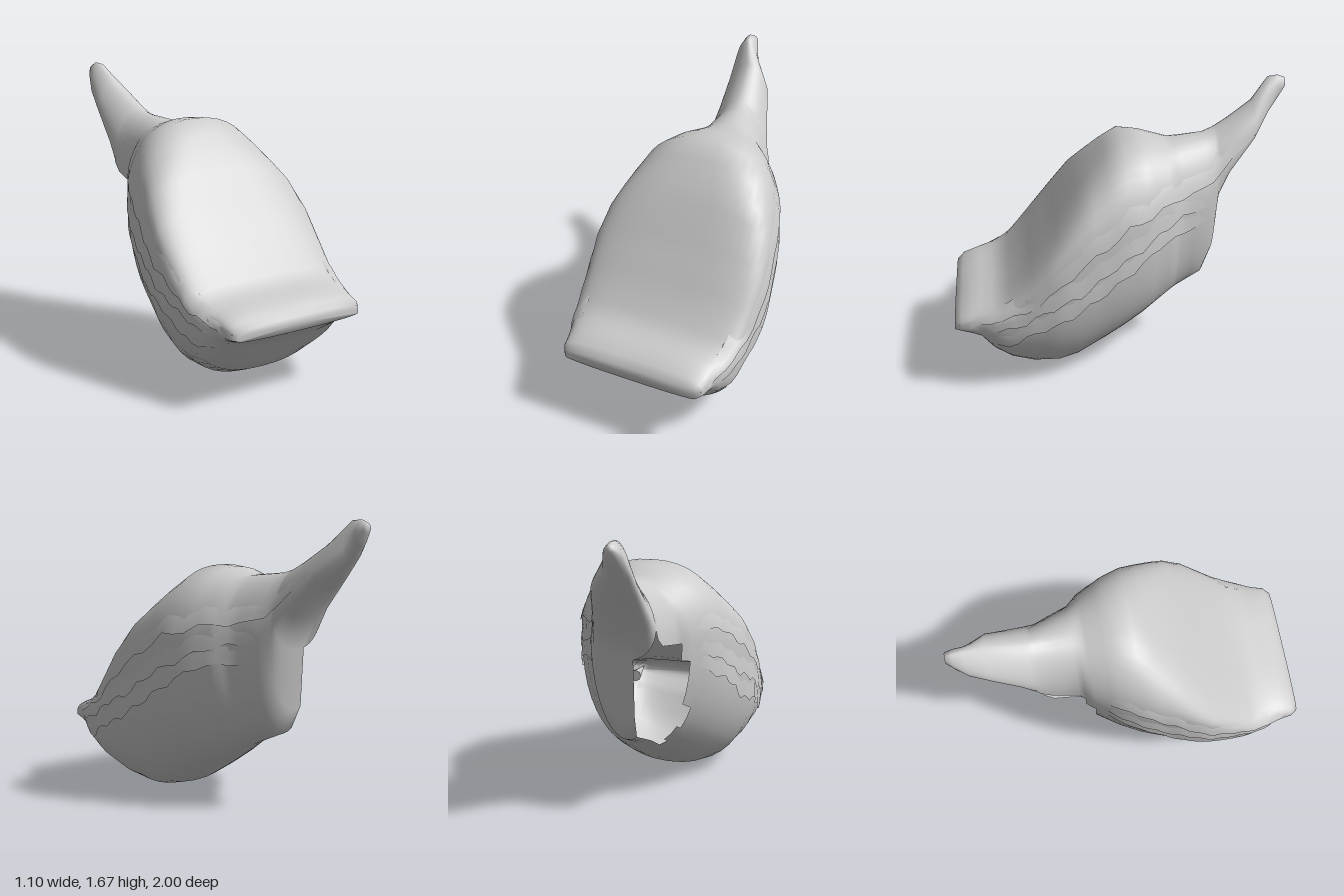
import * as THREE from 'three';

// Cross-sections along the body: z, top y, bottom y, height of widest point, lowest x, highest x
const SECTIONS = [
  [1.0, 0.47, 0.39, 0.41, -0.41, 0.41],
  [0.96, 0.51, 0.37, 0.42, -0.44, 0.44],
  [0.85, 0.55, 0.28, 0.44, -0.46, 0.46],
  [0.78, 0.56, 0.17, 0.45, -0.49, 0.49],
  [0.68, 0.61, 0.08, 0.49, -0.51, 0.51],
  [0.55, 0.78, 0.02, 0.60, -0.525, 0.525],
  [0.40, 0.97, 0.00, 0.74, -0.54, 0.54],
  [0.28, 1.14, 0.03, 0.80, -0.525, 0.525],
  [0.10, 1.33, 0.13, 0.88, -0.485, 0.485],
  [0.00, 1.41, 0.19, 0.92, -0.46, 0.46],
  [-0.12, 1.40, 0.26, 0.95, -0.41, 0.41],
  [-0.28, 1.36, 0.36, 1.00, -0.32, 0.31],
  [-0.34, 1.365, 0.39, 1.00, -0.27, 0.25],
  [-0.50, 1.38, 0.46, 1.03, -0.25, 0.18],
  [-0.56, 1.40, 0.60, 1.08, -0.245, 0.14],
  [-0.58, 1.41, 0.95, 1.14, -0.24, 0.13],
  [-0.65, 1.45, 1.12, 1.22, -0.235, 0.10],
  [-0.80, 1.55, 1.31, 1.39, -0.23, 0.04],
  [-0.90, 1.67, 1.45, 1.51, -0.225, -0.07],
  [-0.96, 1.675, 1.53, 1.60, -0.205, -0.10],
  [-1.0, 1.66, 1.60, 1.63, -0.18, -0.12],
];

const signedPow = (v, p) => Math.sign(v) * Math.abs(v) ** p;
const smooth = THREE.MathUtils.smoothstep;

// Section values at any z
function sectionAt(z) {
  let i = 0;
  while (i < SECTIONS.length - 2 && SECTIONS[i + 1][0] > z) i++;
  const a = SECTIONS[i], b = SECTIONS[i + 1];
  const t = THREE.MathUtils.clamp((a[0] - z) / (a[0] - b[0]), 0, 1);
  return a.map((v, k) => v + (b[k] - v) * t);
}

// Squarish over the front face, rounder at its top, nearly triangular along the tail
const roundness = (z, upper) => upper
  ? 1.6 + 0.7 * smooth(z, -0.8, 0) + 1.1 * smooth(z, 0, 0.35)
  : 2 + 0.4 * smooth(z, -0.5, 0);

// Point on the skin at station z and angle (0 = +x, quarter turn = top)
function skinPoint(z, angle, lift = 0) {
  const [, top, bottom, mid, minX, maxX] = sectionAt(z);
  const c = Math.cos(angle), s = Math.sin(angle);
  const e = 2 / roundness(z, s >= 0);
  return [
    (minX + maxX) / 2 + signedPow(c, e) * ((maxX - minX) / 2 + lift),
    mid + signedPow(s, e) * ((s >= 0 ? top - mid : mid - bottom) + lift),
    z,
  ];
}

// Angle at which the +x side reaches height y, kept off the front face
function angleForHeight(z, y) {
  const [, top, bottom, mid] = sectionAt(z);
  const v = THREE.MathUtils.clamp((y - mid) / (y > mid ? top - mid : mid - bottom), -1, 0.75);
  return Math.asin(signedPow(v, roundness(z, v >= 0) / 2));
}

// Surface through rows of points; optional wrap around and left-out cells
function loft(rows, closed, isHole = () => false) {
  const n = rows[0].length, index = [];
  for (let i = 0; i < rows.length - 1; i++) {
    for (let j = 0; j < (closed ? n : n - 1); j++) {
      if (isHole(rows[i][j], j)) continue;
      const a = i * n + j, b = i * n + (j + 1) % n;
      const c = a + n, d = b + n;
      index.push(a, c, b, b, c, d);
    }
  }
  const g = new THREE.BufferGeometry();
  g.setAttribute('position', new THREE.Float32BufferAttribute(rows.flat(2), 3));
  g.setIndex(index);
  g.computeVertexNormals();
  return g;
}

// Thin overlapping layer with a ragged lower edge, following a (z, y) line on one side
function peelLayer(line, side, endZ, phase) {
  const rows = [], steps = 26, startZ = line[0][0];
  for (let i = 0; i <= steps; i++) {
    const u = i / steps;
    const z = startZ + (endZ - startZ) * u;
    let k = 0;
    while (k < line.length - 2 && line[k + 1][0] > z) k++;
    const [z0, y0] = line[k], [z1, y1] = line[k + 1];
    const fade = Math.sqrt(Math.max(0, Math.sin(Math.PI * u)));
    const ragged = 0.018 * fade * (Math.sin(i * 1.9 + phase) + 0.6 * Math.sin(i * 0.8 + phase));
    const y = y0 + (y1 - y0) * (z0 - z) / (z0 - z1) + ragged;
    const row = [];
    for (let j = 0; j <= 4; j++) {
      const t = j / 4;
      const a = angleForHeight(z, y + 0.14 * t);
      row.push(skinPoint(z, side > 0 ? a : Math.PI - a, 0.014 * fade * (1 - t) - 0.006 * t));
    }
    rows.push(side > 0 ? row : row.reverse());
  }
  return loft(rows, false);
}

export function createModel() {
  const model = new THREE.Group();
  model.name = 'bulb';
  const material = new THREE.MeshStandardMaterial({ color: 0xcccccc, side: THREE.DoubleSide });
  const add = (geometry, name) => {
    const mesh = new THREE.Mesh(geometry, material);
    mesh.name = name;
    model.add(mesh);
  };

  // Main skin: front lip, flat sloping face, rounded belly and twisted tail
  const segments = 44;
  const stations = SECTIONS.map(([z]) => z)
    .concat([0.9, 0.47, 0.19, -0.17, -0.2, -0.23, -0.26, -0.31, -0.42])
    .sort((a, b) => b - a);
  const rows = stations.map((z) =>
    Array.from({ length: segments }, (_, j) => skinPoint(z, j / segments * Math.PI * 2)));
  const cap = ([z, top, bottom, , minX, maxX]) =>
    Array.from({ length: segments }, () => [(minX + maxX) / 2, (top + bottom) / 2, z]);
  rows.unshift(cap(SECTIONS[0]));
  rows.push(cap(SECTIONS[SECTIONS.length - 1]));

  // Torn opening in the right side of the back
  const isHole = ([, , z], j) => {
    const turn = j / segments;
    const edge = -0.2 - 0.1 * smooth(-turn, -0.6, -0.5) + 0.03 * Math.sin(j * 1.7);
    return turn > 0.49 && turn < 0.69 && z < edge && z > -0.57;
  };
  add(loft(rows, true, isHole), 'body');

  // Ragged layers along both sides, stopping short of the opening on the right
  const lines = [
    [[0.92, 0.42], [0.6, 0.55], [0.2, 0.86], [0, 1.02], [-0.2, 1.06], [-0.5, 1.12], [-0.8, 1.38]],
    [[0.85, 0.4], [0.6, 0.48], [0.3, 0.64], [0, 0.82], [-0.2, 0.94], [-0.5, 1.0]],
    [[0.85, 0.33], [0.7, 0.31], [0.5, 0.43], [0.2, 0.57], [0, 0.73], [-0.2, 0.84], [-0.5, 0.9]],
  ];
  lines.forEach((line, i) => {
    add(peelLayer(line, 1, line[line.length - 1][0], i * 2), 'leftLayer' + (i + 1));
    add(peelLayer(line, -1, -0.2, i * 2 + 1), 'rightLayer' + (i + 1));
  });

  // Pointed folds at the two corners of the front lip
  for (const side of [-1, 1]) {
    const fold = new THREE.ConeGeometry(0.05, 0.26, 8);
    fold.scale(0.8, 1, 0.8);
    fold.rotateX(Math.PI / 2);
    fold.rotateY(side * 0.12);
    fold.translate(side * 0.415, 0.44, 0.85);
    add(fold, side > 0 ? 'leftLipFold' : 'rightLipFold');
  }
  return model;
}
